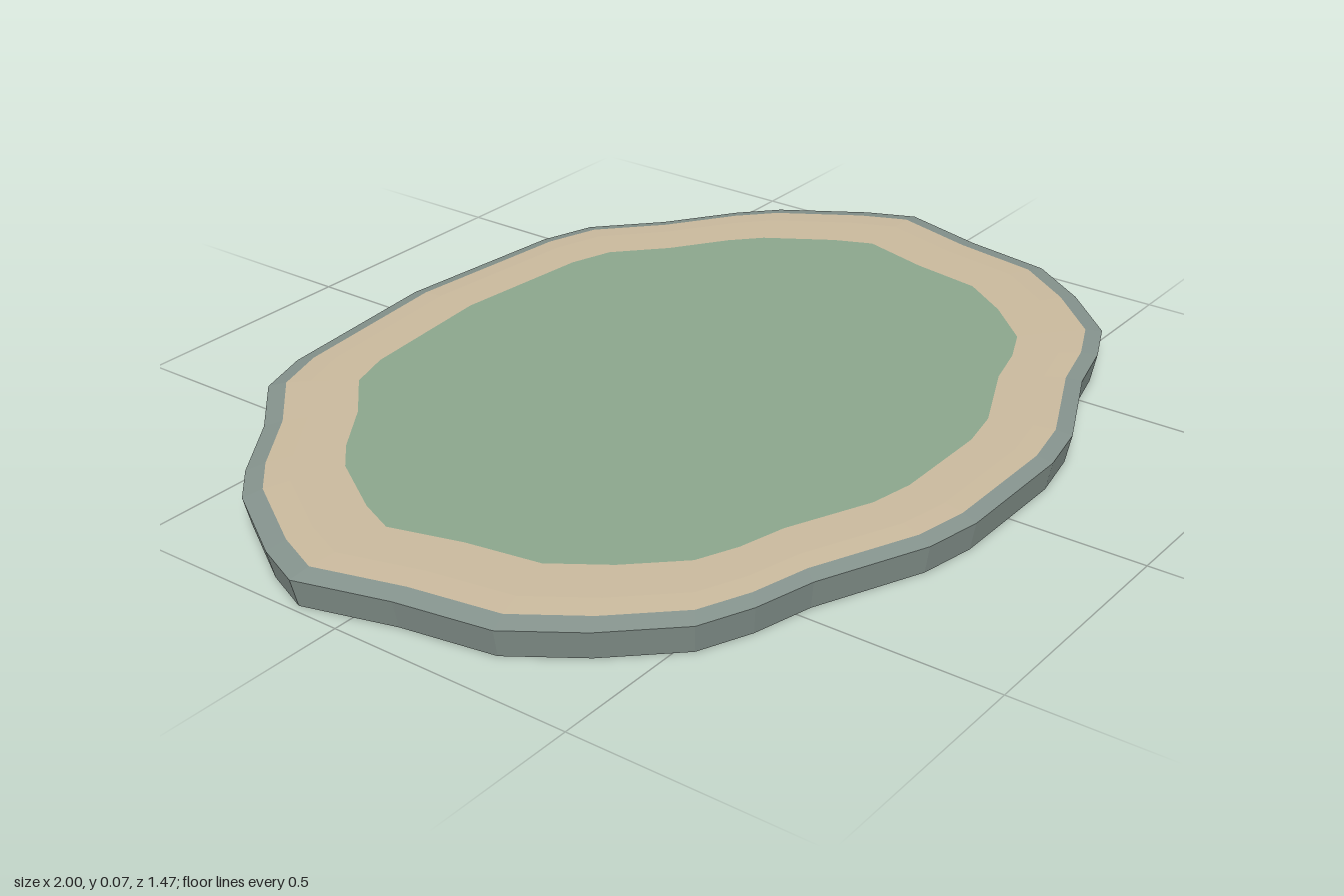
import * as THREE from 'three';

// Right half of the outline, from the back round to the front (x, z)
const half = [
  [0, -0.737], [0.388, -0.7], [0.505, -0.662], [0.63, -0.545], [0.775, -0.444],
  [0.85, -0.374], [0.957, -0.203], [1, -0.102], [0.947, 0.085], [0.914, 0.278],
  [0.824, 0.41], [0.706, 0.535], [0.6, 0.581], [0.475, 0.613], [0.257, 0.709], [0.139, 0.732],
];
const outline = [...half, ...half.slice(1).reverse().map(([x, z]) => [-x, z])];

// Joins scaled copies of the outline; each ring is [scale, height], outside to inside
function loft(name, color, rings) {
  const n = outline.length;
  const positions = [];
  const index = [];
  for (const [s, y] of rings) {
    for (const [x, z] of outline) positions.push(x * s, y, z * s);
  }
  for (let r = 0; r < rings.length - 1; r++) {
    for (let i = 0; i < n; i++) {
      const a = r * n + i, a2 = r * n + (i + 1) % n;
      const b = a + n, b2 = a2 + n;
      if (rings[r + 1][0] > 0) index.push(a, b, a2, a2, b, b2);
      else index.push(a, b, a2); // fan to the centre
    }
  }
  const geometry = new THREE.BufferGeometry();
  geometry.setAttribute('position', new THREE.Float32BufferAttribute(positions, 3));
  geometry.setIndex(index);
  geometry.computeVertexNormals();
  const material = new THREE.MeshStandardMaterial({ color, flatShading: true, side: THREE.DoubleSide });
  const mesh = new THREE.Mesh(geometry, material);
  mesh.name = name;
  return mesh;
}

export function createModel() {
  const group = new THREE.Group();
  group.name = 'island';
  // Open-bottomed stone wall with a bevelled lip
  group.add(loft('stoneRim', 0x84928c, [[0.985, 0], [1, 0.058], [0.957, 0.066]]));
  // Sand band, gently rising inward
  group.add(loft('sandBand', 0xc8b89c, [[0.957, 0.066], [0.9, 0.069], [0.785, 0.07]]));
  // Flat grass centre
  group.add(loft('grassField', 0x8aa58c, [[0.785, 0.07], [0, 0.07]]));
  return group;
}
